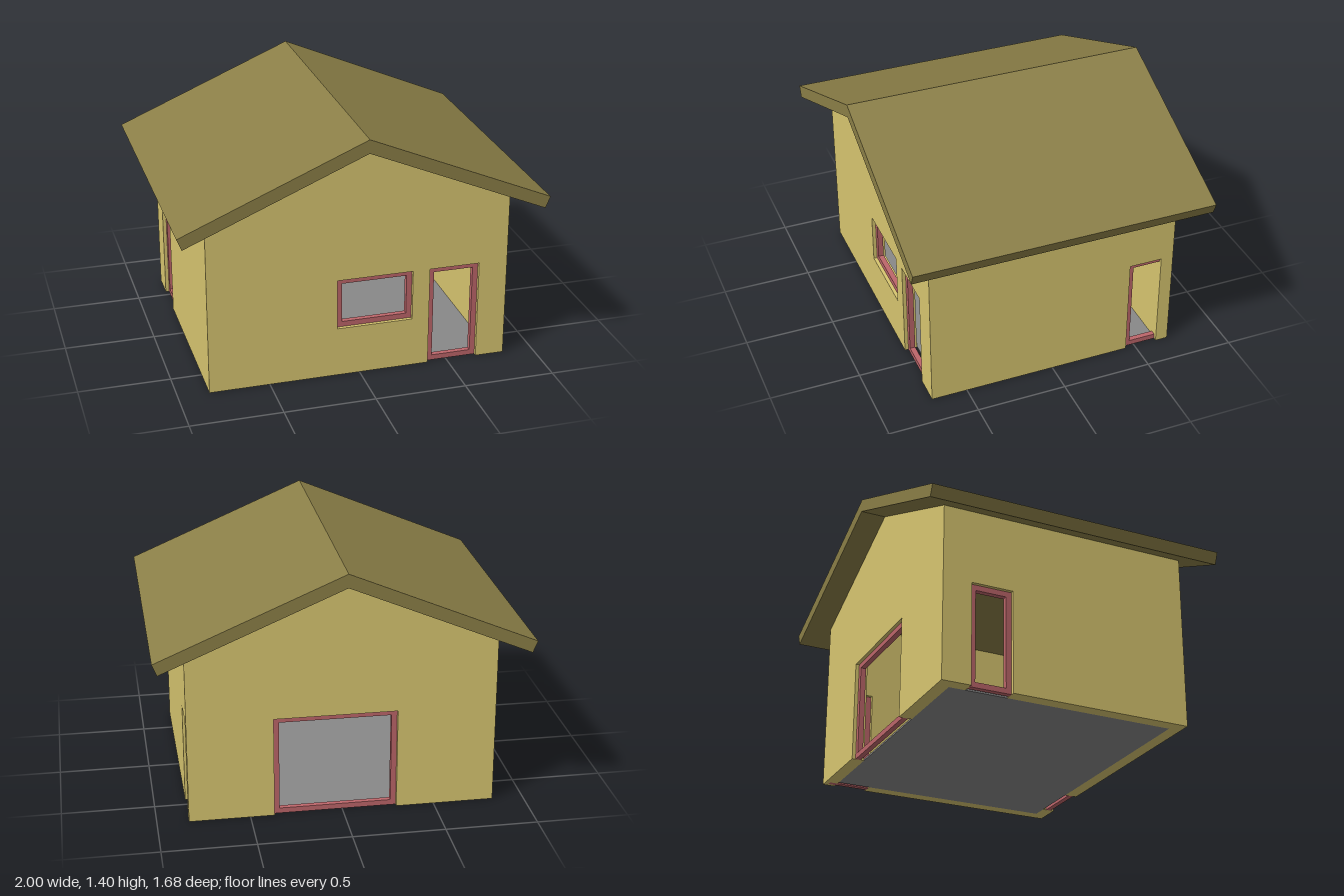
import * as THREE from 'three';

const W = 0.83, D = 0.70, T = 0.07;        // half width, half depth, wall thickness
const DOOR = 0.565, BAR = 0.03, FRAME_DEPTH = 0.03;

const mat = (color) => new THREE.MeshStandardMaterial({ color, flatShading: true });
const wallMat = mat(0xd8c670), roofMat = mat(0x8b7f47), frameMat = mat(0xbd666a), floorMat = mat(0x888888);

const toPoints = (list) => list.map(([x, y]) => new THREE.Vector2(x, y));
const rect = (x0, y0, x1, y1) => toPoints([[x0, y0], [x1, y0], [x1, y1], [x0, y1]]);

function extrude(name, outline, holes, depth, material) {
  const shape = new THREE.Shape(outline);
  holes.forEach((h) => shape.holes.push(new THREE.Path(h.slice().reverse())));
  const geo = new THREE.ExtrudeGeometry(shape, { depth, bevelEnabled: false });
  const mesh = new THREE.Mesh(geo, material);
  mesh.name = name;
  return mesh;
}

// Rectangular frame set in the middle of the wall thickness
function frame(name, [x0, y0, x1, y1]) {
  const inner = rect(x0 + BAR, y0 + BAR, x1 - BAR, y1 - BAR);
  const mesh = extrude(name, rect(x0, y0, x1, y1), [inner], FRAME_DEPTH, frameMat);
  mesh.position.z = (T - FRAME_DEPTH) / 2;
  return mesh;
}

// Notch in a wall's bottom edge for a door
const notch = (x0, x1) => [[x0, 0], [x0, DOOR], [x1, DOOR], [x1, 0]];

function wall(name, outline, holes, frames) {
  const group = new THREE.Group();
  group.name = name;
  group.add(extrude(name + 'Panel', toPoints(outline), holes, T, wallMat));
  for (const [frameName, box] of Object.entries(frames)) group.add(frame(frameName, box));
  return group;
}

export function createModel() {
  const house = new THREE.Group();
  house.name = 'house';

  // Gable walls
  const gable = [[W, 0.973], [0, 1.325], [-W, 0.973]];
  const win = [-0.125, 0.28, 0.295, DOOR];
  const front = wall('frontWall', [[-W, 0], ...notch(0.39, 0.67), [W, 0], ...gable], [rect(...win)],
    { frontWindowFrame: win, frontDoorFrame: [0.39, 0, 0.67, DOOR] });
  front.position.z = D - T;

  const back = wall('backWall', [[-W, 0], ...notch(-0.295, 0.37), [W, 0], ...gable], [],
    { backDoorFrame: [-0.295, 0, 0.37, DOOR] });
  back.position.z = -D;

  // Side walls between the gables; local x runs along z, tops end inside the roof
  const E = D - T, H = 1.0;
  const left = wall('leftWall', [[-E, DOOR], [-0.445, DOOR], [-0.445, 0], [E, 0], [E, H], [-E, H]], [],
    { leftDoorFrame: [-0.675, 0, -0.445, DOOR] });
  left.rotation.y = -Math.PI / 2;
  left.position.x = W;

  const right = wall('rightWall', [[-E, 0], ...notch(-0.54, -0.31), [E, 0], [E, H], [-E, H]], [],
    { rightDoorFrame: [-0.54, 0, -0.31, DOOR] });
  right.rotation.y = -Math.PI / 2;
  right.position.x = -W + T;

  // Roof slab
  const roof = extrude('roof', toPoints([[0, 1.4], [-1, 0.975], [-0.974, 0.912], [0, 1.325], [0.974, 0.912], [1, 0.975]]),
    [], 1.68, roofMat);
  roof.position.z = -0.84;

  // Floor inside the walls
  const floor = new THREE.Mesh(new THREE.BoxGeometry(2 * (W - T), 0.01, 2 * E), floorMat);
  floor.name = 'floor';
  floor.position.y = 0.005;

  house.add(front, back, left, right, roof, floor);
  return house;
}
